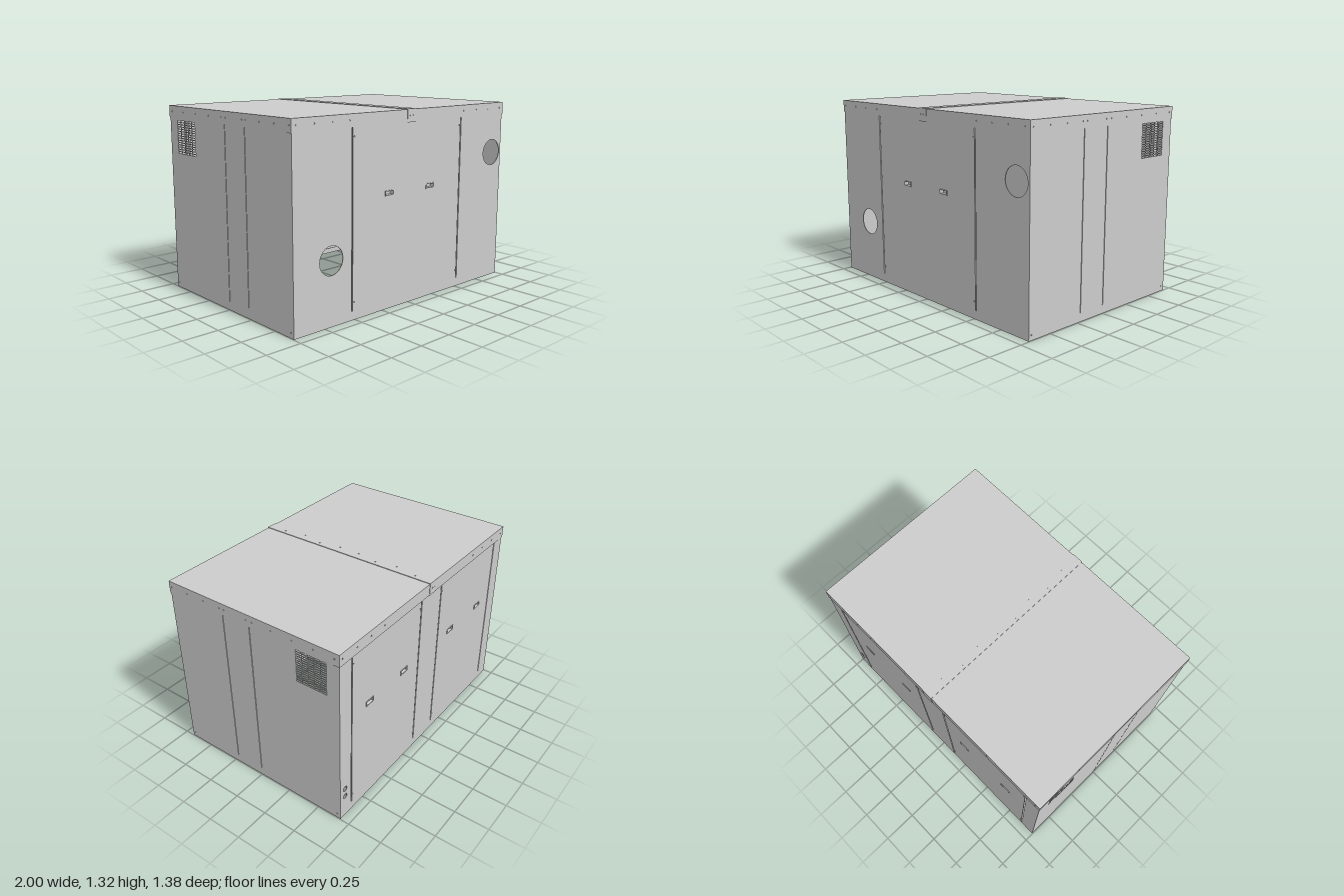
import * as THREE from 'three';

const mat = new THREE.MeshStandardMaterial({ color: 0xcccccc, flatShading: true, side: THREE.DoubleSide });
const HX = 0.996, HZ = 0.682, TOP = 1.316, T = 0.005; // body half sizes, height, sheet thickness
const SEAM_LOW = 0.06, SEAM_HIGH = 1.235;

function add(parent, name, geometry, x = 0, y = 0, z = 0) {
  const mesh = new THREE.Mesh(geometry, mat);
  mesh.name = name;
  mesh.position.set(x, y, z);
  parent.add(mesh);
  return mesh;
}

const box = (parent, name, w, h, d, x, y, z) => add(parent, name, new THREE.BoxGeometry(w, h, d), x, y, z);

function outline(Type, x0, y0, x1, y1) {
  const s = new Type();
  s.moveTo(x0, y0);
  s.lineTo(x1, y0);
  s.lineTo(x1, y1);
  s.lineTo(x0, y1);
  s.closePath();
  return s;
}

const rectHole = (x, y, w, h) => outline(THREE.Path, x - w / 2, y - h / 2, x + w / 2, y + h / 2);

// Round hole with straight segments
function roundHole(x, y, r, n = 40) {
  const pts = [];
  for (let i = 0; i < n; i++) {
    const a = (i / n) * Math.PI * 2;
    pts.push(new THREE.Vector2(x + r * Math.cos(a), y + r * Math.sin(a)));
  }
  return new THREE.Path(pts);
}
const screwHole = ([x, y]) => roundHole(x, y, 0.005, 8);

// Flat sheet in xy with holes, thickness along +z
function sheet(x0, y0, x1, y1, holes, depth = T) {
  const shape = outline(THREE.Shape, x0, y0, x1, y1);
  shape.holes.push(...holes);
  return new THREE.ExtrudeGeometry(shape, { depth, bevelEnabled: false, curveSegments: 4 });
}

// One side of the body: wall, panel seams, inner channels, handles and lid skirt.
// Local x runs to the viewer's right when looking at the outside of the wall.
function side(name, half, dist, turn, { seams, seamWidth, handles = [], holes = [], screws, skirtScrews }) {
  const g = new THREE.Group();
  g.name = name;
  g.rotation.y = turn;
  const midY = (SEAM_LOW + SEAM_HIGH) / 2, len = SEAM_HIGH - SEAM_LOW;
  const cuts = [
    ...holes,
    ...seams.map((x) => rectHole(x, midY, seamWidth, len)),
    ...handles.map((x) => rectHole(x, 0.788, 0.07, 0.027)),
    ...screws.map(screwHole),
  ];
  add(g, 'wall', sheet(-half, 0, half, TOP, cuts), 0, 0, dist - T);

  // Folded channel behind each seam
  for (const x of seams) {
    for (const s of [-1, 1]) box(g, 'seamFlange', 0.004, len, 0.026, x + s * 0.013, midY, dist - T - 0.013);
    box(g, 'seamBacking', 0.03, len, 0.004, x, midY, dist - T - 0.026);
  }

  // Recessed grip with a thin raised rim
  for (const x of handles) {
    add(g, 'handleRim', sheet(-0.04, -0.0185, 0.04, 0.0185, [rectHole(0, 0, 0.068, 0.025)], 0.004), x, 0.788, dist);
    box(g, 'handleCupBack', 0.078, 0.035, 0.003, x, 0.788, dist - 0.03);
    for (const s of [-1, 1]) {
      box(g, 'handleCupEnd', 0.004, 0.035, 0.026, x + s * 0.037, 0.788, dist - T - 0.012);
      box(g, 'handleCupEdge', 0.07, 0.004, 0.026, x, 0.788 + s * 0.0155, dist - T - 0.012);
    }
  }

  add(g, 'lidSkirt', sheet(-half - 0.004, SEAM_HIGH, half + 0.004, TOP, skirtScrews.map((x) => screwHole([x, 1.28])), 0.004), 0, 0, dist);
  return g;
}

// Grid of ventilation slots
function ventSlots(xCentre) {
  const slots = [];
  const rows = 15, cols = 5;
  for (let r = 0; r < rows; r++)
    for (let c = 0; c < cols; c++)
      slots.push(rectHole(xCentre + (c - 2) * 0.0465, 1.106 + (r - 7) * 0.0157, 0.042, 0.0105));
  return slots;
}

export function createModel() {
  const model = new THREE.Group();
  model.name = 'equipmentEnclosure';
  const lidScrews = [-0.97, -0.83, -0.69, -0.55, 0.54, 0.68, 0.82, 0.96];
  const pairs = (xs) => xs.flatMap((x) => [[x, 1.18], [x, 0.12]]);

  // Front: centre panel, two round openings
  model.add(side('frontSide', HX, HZ, 0, {
    seams: [-0.523, 0.517], seamWidth: 0.009, handles: [-0.195, 0.2],
    holes: [roundHole(0.884, 0.955, 0.095), roundHole(-0.697, 0.43, 0.095)],
    screws: pairs([-0.507, 0.503]), skirtScrews: lidScrews,
  }));

  // Back: two panels, a pair of small cable holes
  model.add(side('backSide', HX, HZ, Math.PI, {
    seams: [-0.876, -0.12, 0.127, 0.88], seamWidth: 0.009, handles: [-0.69, -0.3, 0.3, 0.7],
    holes: [roundHole(-0.944, 0.235, 0.019, 20), roundHole(-0.944, 0.17, 0.019, 20)],
    screws: pairs([-0.862, -0.134, 0.141, 0.866]), skirtScrews: lidScrews,
  }));

  // Left and right ends, mirrored, each with a vent towards the back
  const endScrews = [0.665, 0.525, 0.38, 0.24, 0.2, 0.02, -0.03, -0.18, -0.34, -0.5, -0.65];
  for (const s of [1, -1]) {
    model.add(side(s > 0 ? 'leftSide' : 'rightSide', HZ, HX, s * Math.PI / 2, {
      seams: [-s * 0.22, 0], seamWidth: 0.005,
      holes: ventSlots(s * 0.475),
      screws: [[-0.66, 0.035], [0.655, 0.035]], skirtScrews: endScrews.map((z) => -s * z),
    }));
  }

  // Lid and the raised joint strip that wraps over its middle
  box(model, 'lidTop', 2, 0.004, 2 * HZ + 0.008, 0, TOP + 0.002, 0);
  const stripZ = HZ + 0.004;
  const stripHoles = [[0.01, 0.555], [-0.02, 0.395], [0.01, 0.24], [-0.02, 0.085], [-0.02, -0.075], [0.01, -0.23], [-0.02, -0.385], [0.01, -0.545]];
  const strip = add(model, 'jointStrip', sheet(-0.04, -stripZ, 0.04, stripZ, stripHoles.map(screwHole), 0.004), 0, TOP + 0.004, 0);
  strip.rotation.x = -Math.PI / 2;
  for (const s of [1, -1]) {
    add(model, 'jointStripEnd', sheet(-0.04, SEAM_HIGH, 0.04, TOP + 0.008, [[-0.02, 1.28], [0.01, 1.28]].map(screwHole), 0.003), 0, 0, s > 0 ? stripZ : -stripZ - 0.003);
  }

  // Inward base flange with an upturned lip, open in the middle
  const W = 0.08, lip = 0.04;
  const flange = add(model, 'baseFlange', sheet(-HX + T, -HZ + T, HX - T, HZ - T, [rectHole(0, 0, 2 * (HX - W), 2 * (HZ - W))]));
  flange.rotation.x = -Math.PI / 2;
  for (const s of [1, -1]) {
    box(model, 'baseLip', 2 * (HX - W), lip, T, 0, lip / 2, s * (HZ - W + T / 2));
    box(model, 'baseLip', T, lip, 2 * (HZ - W), s * (HX - W + T / 2), lip / 2, 0);
  }
  return model;
}
